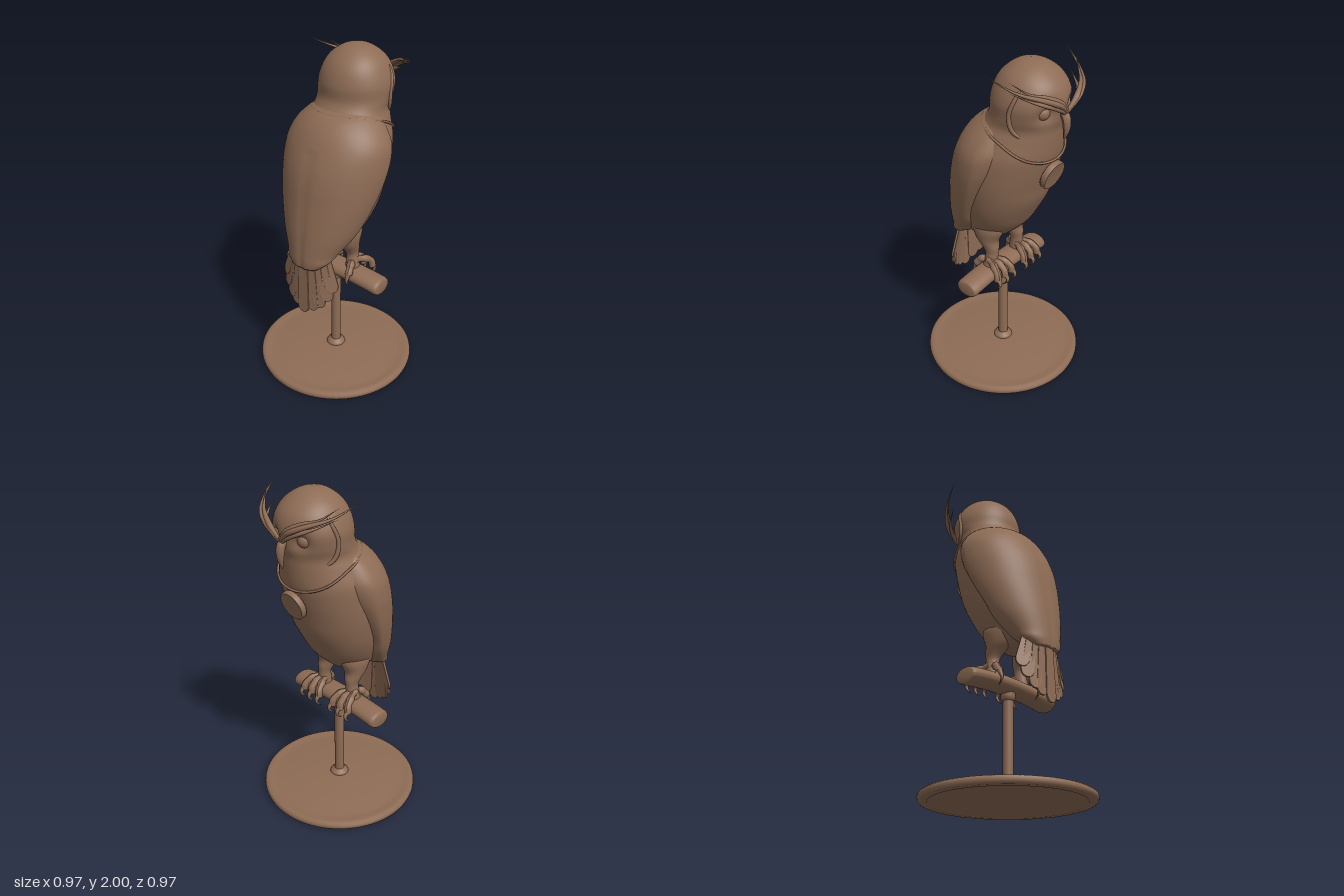
import * as THREE from 'three';

const brown = new THREE.MeshStandardMaterial({ color: 0x8e6c55, side: THREE.DoubleSide });
brown.name = 'brown';
const V = (x, y, z) => new THREE.Vector3(x, y, z);

function add(parent, name, geometry) {
  const mesh = new THREE.Mesh(geometry, brown);
  mesh.name = name;
  parent.add(mesh);
  return mesh;
}

// Smooth path through sections of [y, back z, front z, half width, z of widest point]
function sectionSampler(sections) {
  const spline = new THREE.CubicInterpolant(sections.map((_, i) => i), sections.flat(), 5, new Float32Array(5));
  return (t, a) => {
    const [y, zb, zf, hw, zc] = spline.evaluate(t);
    const c = Math.cos(a);
    return V(hw * Math.sin(a), y, zc + (c > 0 ? c * (zb - zc) : -c * (zf - zc)));
  };
}

// Closed skin over the sections, with an optional rule moving each point
function loft(sections, rule, cols = 64, steps = 6) {
  const at = sectionSampler(sections), rows = (sections.length - 1) * steps;
  const pos = [], idx = [];
  for (let i = 0; i <= rows; i++) {
    for (let j = 0; j < cols; j++) {
      const p = at(i / steps, (j / cols) * Math.PI * 2);
      if (rule) rule(p);
      pos.push(p.x, p.y, p.z);
      if (i === rows) continue;
      const a = i * cols + j, b = i * cols + (j + 1) % cols;
      idx.push(a, b, b + cols, a, b + cols, a + cols);
    }
  }
  // end caps
  for (const [row, top] of [[0, false], [rows, true]]) {
    const s = sections[top ? sections.length - 1 : 0], centre = pos.length / 3;
    pos.push(0, s[0], (s[1] + s[2]) / 2);
    for (let j = 0; j < cols; j++) {
      const a = row * cols + j, b = row * cols + (j + 1) % cols;
      if (top) idx.push(centre, a, b); else idx.push(centre, b, a);
    }
  }
  const g = new THREE.BufferGeometry();
  g.setAttribute('position', new THREE.Float32BufferAttribute(pos, 3));
  g.setIndex(idx);
  g.computeVertexNormals();
  return g;
}

// Tube whose radius follows profile(t)
function taperedTube(points, radius, profile, segments = 24, sides = 10) {
  const curve = new THREE.CatmullRomCurve3(points);
  const g = new THREE.TubeGeometry(curve, segments, radius, sides);
  const p = g.attributes.position, v = V();
  for (let i = 0; i < p.count; i++) {
    const t = Math.floor(i / (sides + 1)) / segments, c = curve.getPointAt(t);
    v.fromBufferAttribute(p, i).sub(c).multiplyScalar(profile(t)).add(c);
    p.setXYZ(i, v.x, v.y, v.z);
  }
  g.computeVertexNormals();
  return g;
}

const lathe = (pts, n = 64) => new THREE.LatheGeometry(pts.map(([x, y]) => new THREE.Vector2(x, y)), n);

const BODY = [
  [0.86, 0.20, 0.0, 0.08, 0.09], [0.9, 0.25, -0.06, 0.14, 0.08], [1.0, 0.29, -0.16, 0.2, 0.04],
  [1.1, 0.29, -0.22, 0.24, 0.0], [1.2, 0.28, -0.27, 0.265, -0.02], [1.3, 0.25, -0.3, 0.28, -0.04],
  [1.4, 0.23, -0.33, 0.285, -0.05], [1.5, 0.19, -0.355, 0.28, -0.06], [1.6, 0.13, -0.365, 0.24, -0.09],
  [1.66, 0.07, -0.37, 0.212, -0.13], [1.72, 0.03, -0.388, 0.213, -0.17], [1.8, 0.025, -0.405, 0.215, -0.19],
  [1.88, 0.0, -0.385, 0.188, -0.19], [1.94, -0.045, -0.335, 0.145, -0.19],
  [1.985, -0.11, -0.265, 0.075, -0.187], [2.0, -0.18, -0.19, 0.004, -0.185],
];
const WINGS = [
  [0.81, 0.335, 0.24, 0.09, 0.29], [0.85, 0.337, 0.18, 0.14, 0.25], [0.9, 0.335, 0.1, 0.17, 0.2],
  [1.0, 0.327, 0.03, 0.23, 0.13], [1.1, 0.315, 0.0, 0.27, 0.08], [1.2, 0.3, -0.06, 0.3, 0.04],
  [1.3, 0.285, -0.12, 0.32, 0.0], [1.4, 0.26, -0.18, 0.33, -0.03], [1.5, 0.22, -0.22, 0.322, -0.05],
  [1.58, 0.175, -0.22, 0.28, -0.06], [1.64, 0.12, -0.21, 0.225, -0.08], [1.68, 0.05, -0.18, 0.17, -0.09],
];

function buildBird() {
  const bird = new THREE.Group();
  bird.name = 'bird';

  // head and body in one skin, with eye sockets pressed in
  add(bird, 'headAndBody', loft(BODY, p => {
    if (p.z < -0.25) p.z += 0.035 * Math.exp(-((Math.abs(p.x) - 0.09) ** 2 + (p.y - 1.765) ** 2) / 0.0025);
  }));
  // folded wings, with a soft seam down the back
  add(bird, 'foldedWings', loft(WINGS, p => {
    if (p.z > 0.1 && p.y < 1.5) p.z -= 0.007 * Math.exp(-((p.x / 0.015) ** 2));
  }));

  // hooked beak
  add(bird, 'beak', taperedTube(
    [V(0, 1.77, -0.385), V(0, 1.73, -0.412), V(0, 1.67, -0.418), V(0, 1.605, -0.405)],
    0.032, t => Math.max(0.03, Math.sqrt(1 - t) * (0.6 + 0.8 * t * (1 - t) * 2))));

  // pendant on a cord round the neck
  const at = sectionSampler(BODY), cord = [];
  for (let i = 0; i < 40; i++) {
    const a = (i / 40) * Math.PI * 2;
    const p = at(6.75 + 2.25 * Math.sin((1 + Math.cos(a)) * Math.PI / 4), a);
    cord.push(V(p.x * 1.02, p.y, p.z + 0.006 * Math.cos(a)));
  }
  add(bird, 'cord', new THREE.TubeGeometry(new THREE.CatmullRomCurve3(cord, true), 120, 0.007, 6, true));
  const pendant = add(bird, 'pendant', lathe([
    [0, -0.02], [0.08, -0.02], [0.086, -0.013], [0.086, 0.013], [0.08, 0.018], [0.074, 0.013], [0, 0.013]], 40));
  pendant.rotation.x = -(Math.PI / 2 + 0.3);
  pendant.position.set(0, 1.38, -0.342);

  for (const s of [1, -1]) {
    const side = s > 0 ? 'left' : 'right';
    // eye with heavy lid
    const eye = add(bird, side + 'Eye', new THREE.SphereGeometry(0.04, 24, 16));
    eye.position.set(s * 0.09, 1.765, -0.328);
    // rim of the face disc
    add(bird, side + 'FaceRim', taperedTube(
      [V(s * 0.13, 1.93, -0.26), V(s * 0.195, 1.85, -0.24), V(s * 0.212, 1.75, -0.21),
        V(s * 0.195, 1.66, -0.23), V(s * 0.11, 1.6, -0.33)],
      0.013, t => 0.2 + 0.8 * Math.sin(t * Math.PI)));
    // brow feathers sweeping out into tufts
    const tufts = [
      [V(0, 1.76, -0.415), V(s * 0.07, 1.82, -0.43), V(s * 0.16, 1.865, -0.4), V(s * 0.26, 1.91, -0.3), V(s * 0.335, 1.99, -0.15)],
      [V(0, 1.77, -0.42), V(s * 0.07, 1.835, -0.425), V(s * 0.15, 1.88, -0.39), V(s * 0.21, 1.9, -0.34), V(s * 0.275, 1.96, -0.265)],
      [V(0, 1.75, -0.41), V(s * 0.07, 1.8, -0.415), V(s * 0.15, 1.835, -0.375), V(s * 0.2, 1.86, -0.32), V(s * 0.245, 1.89, -0.25)],
    ];
    tufts.forEach((path, i) => add(bird, side + 'BrowFeather' + (i + 1),
      taperedTube(path, 0.017, t => Math.max(0.03, Math.min(0.5 + 2 * t, 1.25 * (1 - t))), 32, 8)));
    bird.add(buildLeg(s, side));
  }
  bird.add(buildTail());
  return bird;
}

function buildLeg(s, side) {
  const leg = new THREE.Group();
  leg.name = side + 'Leg';
  leg.position.x = s * 0.125;
  const thigh = add(leg, 'featheredLeg', loft([
    [0.69, 0.04, -0.05, 0.045, 0], [0.74, 0.035, -0.05, 0.04, -0.01], [0.79, 0.03, -0.052, 0.036, -0.01],
    [0.83, 0.055, -0.055, 0.046, 0], [0.88, 0.1, -0.05, 0.062, 0.02], [0.95, 0.13, -0.08, 0.075, 0.03],
    [1.02, 0.13, -0.08, 0.06, 0.03]], null, 24, 4));
  thigh.rotation.z = s * 0.06;
  thigh.position.x = s * 0.04;

  // three front toes and one rear toe, curled round the perch
  const toe = t => 0.9 + 0.2 * Math.cos(t * 14) * (1 - t);
  const claw = t => Math.max(0.03, 1 - t);
  for (const spread of [-0.055, 0, 0.055]) {
    add(leg, 'frontToe', taperedTube([V(spread * 0.3, 0.75, -0.01), V(spread * 0.8, 0.735, -0.07),
      V(spread * 1.1, 0.705, -0.11), V(spread * 1.2, 0.665, -0.118)], 0.024, toe));
    add(leg, 'frontClaw', taperedTube([V(spread * 1.2, 0.685, -0.115), V(spread * 1.25, 0.65, -0.14),
      V(spread * 1.25, 0.615, -0.12), V(spread * 1.2, 0.595, -0.095)], 0.017, claw, 16, 8));
  }
  add(leg, 'rearToe', taperedTube([V(0, 0.745, 0), V(s * 0.02, 0.735, 0.045), V(s * 0.03, 0.69, 0.082)], 0.025, toe));
  add(leg, 'rearClaw', taperedTube([V(s * 0.03, 0.7, 0.08), V(s * 0.03, 0.65, 0.1), V(s * 0.03, 0.61, 0.075)], 0.017, claw, 16, 8));
  return leg;
}

// fan of overlapping tail feathers, the longest in the middle
function buildTail() {
  const tail = new THREE.Group();
  tail.name = 'tail';
  const fan = [[0, 0.495, 0.312], [0.06, 0.525, 0.302], [0.105, 0.555, 0.29], [0.15, 0.61, 0.272], [0.175, 0.67, 0.255]];
  fan.forEach(([x, y, z], i) => {
    for (const s of i ? [1, -1] : [1]) {
      const root = V(s * x * 0.55, 0.92, z - 0.01), d = V(s * x, y, z).sub(root), L = d.length();
      const shape = new THREE.Shape();
      shape.moveTo(-0.025, 0);
      shape.lineTo(-0.037, -L + 0.04);
      shape.quadraticCurveTo(-0.03, -L, 0, -L);
      shape.quadraticCurveTo(0.03, -L, 0.037, -L + 0.04);
      shape.lineTo(0.025, 0);
      const g = new THREE.ExtrudeGeometry(shape, {
        depth: 0.006, bevelThickness: 0.004, bevelSize: 0.003, bevelSegments: 2, curveSegments: 8 });
      const feather = add(tail, 'tailFeather', g);
      feather.position.copy(root);
      feather.quaternion.setFromUnitVectors(V(0, -1, 0), d.normalize());
      feather.rotateY(s * x * 3);
    }
  });
  return tail;
}

function buildStand() {
  const stand = new THREE.Group();
  stand.name = 'stand';
  // round base with raised rim, shallow dome and recessed underside
  add(stand, 'base', lathe([
    [0, 0.008], [0.425, 0.008], [0.432, 0], [0.47, 0], [0.481, 0.006], [0.485, 0.02], [0.483, 0.034],
    [0.472, 0.044], [0.45, 0.046], [0.43, 0.042], [0.4, 0.043], [0.34, 0.05], [0.25, 0.059], [0.1, 0.067], [0, 0.068]], 96));
  add(stand, 'baseCollar', lathe([[0.058, 0.06], [0.058, 0.072], [0.052, 0.082], [0.038, 0.09], [0.03, 0.098]], 32));
  const pole = add(stand, 'pole', new THREE.CylinderGeometry(0.03, 0.03, 0.56, 32));
  pole.position.y = 0.34;
  add(stand, 'poleCollar', lathe([[0.03, 0.575], [0.04, 0.583], [0.043, 0.6], [0.043, 0.64]], 32));

  // oval perch, bowed slightly down at the ends
  const profile = [[0, -0.345], [0.8, -0.345], [0.93, -0.338], [1, -0.322]];
  for (let i = -7; i <= 7; i++) profile.push([1, i * 0.04]);
  profile.push([1, 0.322], [0.93, 0.338], [0.8, 0.345], [0, 0.345]);
  const perch = lathe(profile, 40);
  perch.rotateZ(-Math.PI / 2);
  perch.scale(1, 0.05, 0.076);
  const p = perch.attributes.position;
  for (let i = 0; i < p.count; i++) p.setY(i, p.getY(i) + 0.662 - 0.22 * p.getX(i) ** 2);
  perch.computeVertexNormals();
  add(stand, 'perch', perch);
  return stand;
}

export function createModel() {
  const model = new THREE.Group();
  model.name = 'perchedOwl';
  model.add(buildStand(), buildBird());
  return model;
}
